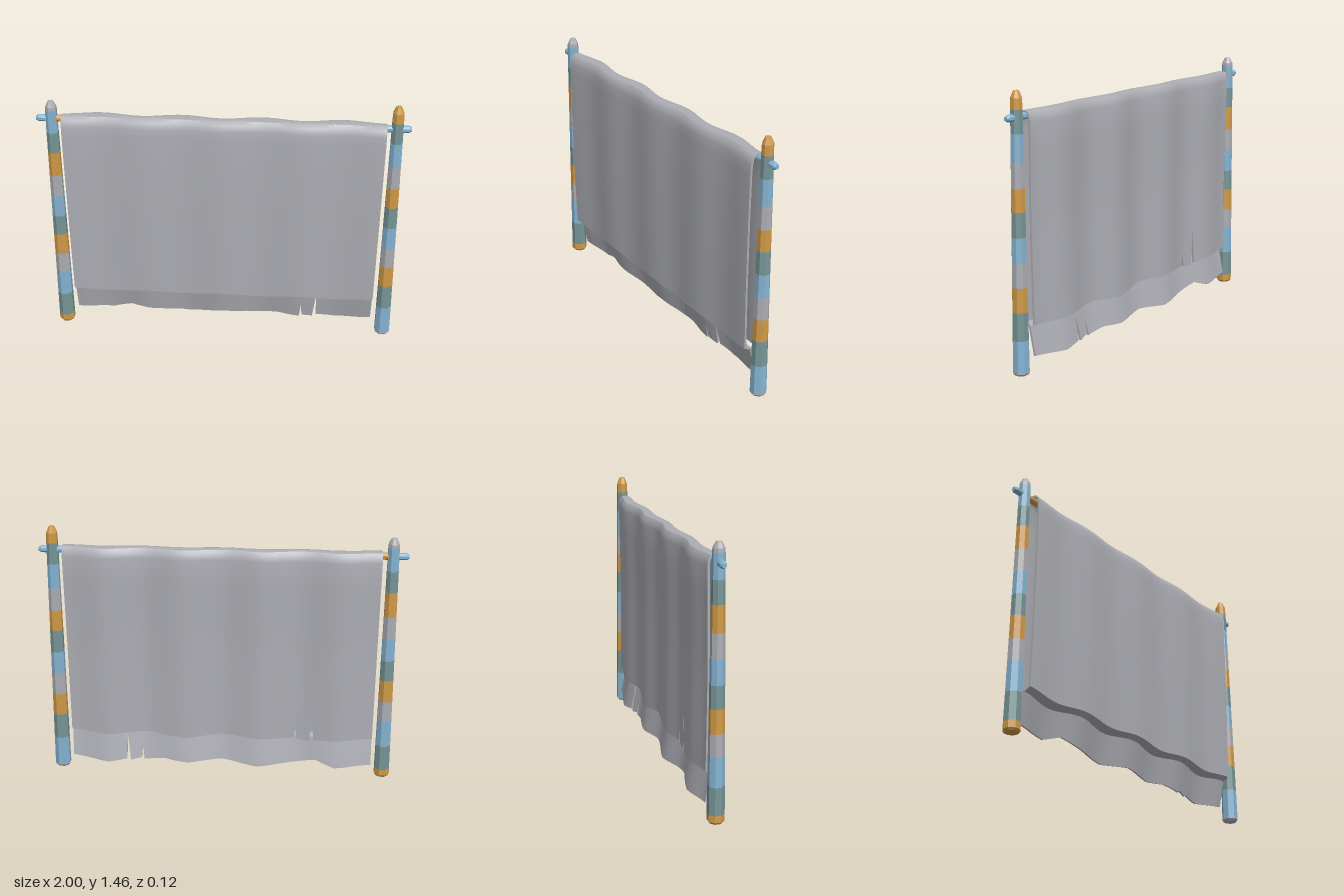
import * as THREE from 'three';
import { toCreasedNormals } from 'three/addons/utils/BufferGeometryUtils.js';

const material = (name, color) => {
  const m = new THREE.MeshStandardMaterial({ color });
  m.name = name;
  return m;
};

// Piecewise linear lookup through [position, value] pairs
function lookup(points, p) {
  if (p <= points[0][0]) return points[0][1];
  for (let i = 1; i < points.length; i++) {
    const [a, va] = points[i - 1], [b, vb] = points[i];
    if (p <= b) return va + (vb - va) * (p - a) / (b - a);
  }
  return points[points.length - 1][1];
}

// Hem heights along x, including the narrow tears
const FRONT_HEM = [
  [-0.86, 0.075], [-0.65, 0.06], [-0.54, 0.1], [-0.43, 0.08], [-0.2, 0.055], [0, 0.083],
  [0.2, 0.065], [0.33, 0.08], [0.452, 0.065], [0.462, 0.155], [0.468, 0.075], [0.53, 0.062],
  [0.547, 0.215], [0.552, 0.072], [0.66, 0.055], [0.87, 0.08],
];
const BACK_HEM = [
  [-0.86, 0.245], [-0.65, 0.235], [-0.525, 0.23], [-0.512, 0.45], [-0.503, 0.22], [-0.43, 0.23],
  [-0.42, 0.3], [-0.412, 0.235], [-0.2, 0.235], [0, 0.25], [0.2, 0.225], [0.43, 0.25], [0.65, 0.235], [0.87, 0.25],
];
const BACK_DEPTH = [[0.24, -0.042], [0.8, -0.037], [1.3, -0.045]];
const THICKNESS = 0.012;

// Cloth cross-section at x: outer line up the front, over the bar, down the back; then the inner line
function clothSection(x) {
  const wave = Math.cos((2 * Math.PI * x) / 0.433);
  const front = 0.007 * wave, back = 0.014 * wave;
  const hem = lookup(FRONT_HEM, x), backHem = lookup(BACK_HEM, x);
  const crease = 0.243 + 0.008 * wave;
  const flapZ = y => -0.035 + 0.2 * (y - 0.06) + back;
  const outer = [];
  const add = (y, z) => outer.push(new THREE.Vector2(z, y));
  for (const f of [0, 0.5, 1]) {
    const y = hem + (crease - 0.018 - hem) * f;
    add(y, flapZ(y));
  }
  add(crease, 0.043 + front);
  for (const [y, z] of [[0.6, 0.05], [1, 0.053], [1.25, 0.052], [1.3, 0.05], [1.335, 0.042], [1.351, 0.026]]) add(y, z + front);
  add(1.356, 0.01 * wave);
  for (const [y, z] of [[1.351, -0.025], [1.335, -0.039], [1.3, -0.045]]) add(y, z + back);
  for (let k = 1; k <= 8; k++) {
    const y = 1.3 + (backHem - 1.3) * k / 8;
    add(y, lookup(BACK_DEPTH, y) + back);
  }
  const inner = outer.map((p, i) => {
    const t = outer[Math.min(i + 1, outer.length - 1)].clone().sub(outer[Math.max(i - 1, 0)]).normalize();
    return new THREE.Vector2(p.x - t.y * THICKNESS, p.y + t.x * THICKNESS);
  });
  return { count: outer.length, loop: [...outer, ...inner.reverse()] };
}

function clothGeometry() {
  const xs = [...FRONT_HEM, ...BACK_HEM].map(p => p[0]);
  for (let i = 1; i < 64; i++) {
    const x = -0.86 + (1.73 * i) / 64;
    if (xs.every(v => Math.abs(v - x) > 0.006)) xs.push(x);
  }
  const columns = [...new Set(xs)].sort((a, b) => a - b);
  const positions = [], index = [];
  let size = 0, count = 0;
  for (const x of columns) {
    const s = clothSection(x);
    size = s.loop.length;
    count = s.count;
    for (const p of s.loop) positions.push(x, p.y, p.x);
  }
  for (let i = 0; i < columns.length - 1; i++) {
    for (let j = 0; j < size; j++) {
      const k = (j + 1) % size;
      const a = i * size + j, c = i * size + k, b = a + size, d = c + size;
      index.push(a, b, c, b, d, c);
    }
  }
  // Side edges of the sheet
  const last = (columns.length - 1) * size;
  for (let j = 0; j < count - 1; j++) {
    const o0 = j, o1 = j + 1, i0 = size - 1 - j, i1 = size - 2 - j;
    index.push(o0, o1, i0, o1, i1, i0);
    index.push(last + o0, last + i0, last + o1, last + o1, last + i0, last + i1);
  }
  const g = new THREE.BufferGeometry();
  g.setAttribute('position', new THREE.Float32BufferAttribute(positions, 3));
  g.setIndex(index);
  return toCreasedNormals(g.toNonIndexed(), 0.6);
}

export function createModel() {
  const grey = material('cloth grey', 0xadaeb4);
  const orange = material('ochre', 0xd09a48);
  const teal = material('slate teal', 0x779597);
  const blue = material('sky blue', 0x86b4d2);

  const model = new THREE.Group();
  model.name = 'clothScreen';

  // One faceted, tapering ring of a pole; the top may lean sideways
  function ring(y0, y1, r0, r1, x0, x1, mat, name, closed) {
    let g = new THREE.CylinderGeometry(r1, r0, y1 - y0, 8, 1, !closed);
    g.rotateY(Math.PI / 8);
    const p = g.attributes.position;
    for (let i = 0; i < p.count; i++) p.setX(i, p.getX(i) + (p.getY(i) > 0 ? x1 : x0));
    g.translate(0, (y0 + y1) / 2, 0);
    g = toCreasedNormals(g.toNonIndexed(), 0.5);
    const mesh = new THREE.Mesh(g, mat);
    mesh.name = name;
    return mesh;
  }

  // Leaning post painted in bands, with a bevelled foot and tip
  function post(name, footX, topX, shoulder, tip, heights, colours) {
    const group = new THREE.Group();
    group.name = name;
    group.position.z = 0.005;
    const radius = y => 0.046 - 0.014 * (y / 1.4);
    const axis = y => footX + (topX - footX) * (y / 1.4);
    const add = (a, b, ra, rb, mat, closed) =>
      group.add(ring(a, b, ra, rb, axis(a), axis(b), mat, name + 'Band', closed));
    add(0, 0.012, 0.037, radius(0.012), colours[0], true);
    let y = 0.012;
    heights.forEach((h, i) => {
      add(y, h, radius(y), radius(h), colours[i % colours.length], false);
      y = h;
    });
    const tipMat = colours[heights.length % colours.length];
    add(y, shoulder, radius(y), radius(shoulder) * 0.95, tipMat, false);
    add(shoulder, tip, radius(shoulder) * 0.95, 0.015, tipMat, true);
    model.add(group);
  }
  post('leftPost', 0.942, 0.925, 1.425, 1.46,
    [0.02, 0.19, 0.34, 0.47, 0.6, 0.73, 0.86, 0.98, 1.11, 1.25, 1.37], [grey, blue, teal, orange]);
  // This list runs orange, teal, blue, grey up the post
  post('rightPost', -0.928, -0.917, 1.4, 1.43,
    [0.05, 0.2, 0.36, 0.48, 0.61, 0.73, 0.86, 0.99, 1.13, 1.25, 1.38], [orange, teal, blue, grey]);

  // Crossbar painted in bands
  const bar = new THREE.Group();
  bar.name = 'crossbar';
  const stops = [-0.985, -0.9, -0.75, -0.5, -0.25, 0, 0.25, 0.5, 0.75, 0.985];
  const barColours = [blue, orange, grey, teal, blue, orange, grey, teal, blue];
  barColours.forEach((mat, i) =>
    bar.add(ring(stops[i], stops[i + 1], 0.019, 0.019, 0, 0, mat, 'crossbarBand', false)));
  bar.add(ring(-1, -0.985, 0.012, 0.019, 0, 0, blue, 'crossbarEnd', true));
  bar.add(ring(0.985, 1, 0.019, 0.012, 0, 0, blue, 'crossbarEnd', true));
  bar.rotation.z = -Math.PI / 2;
  bar.position.set(0, 1.33, 0.005);
  model.add(bar);

  // Draped cloth with torn hems
  const cloth = new THREE.Mesh(clothGeometry(), grey);
  cloth.name = 'drapedCloth';
  model.add(cloth);

  return model;
}
